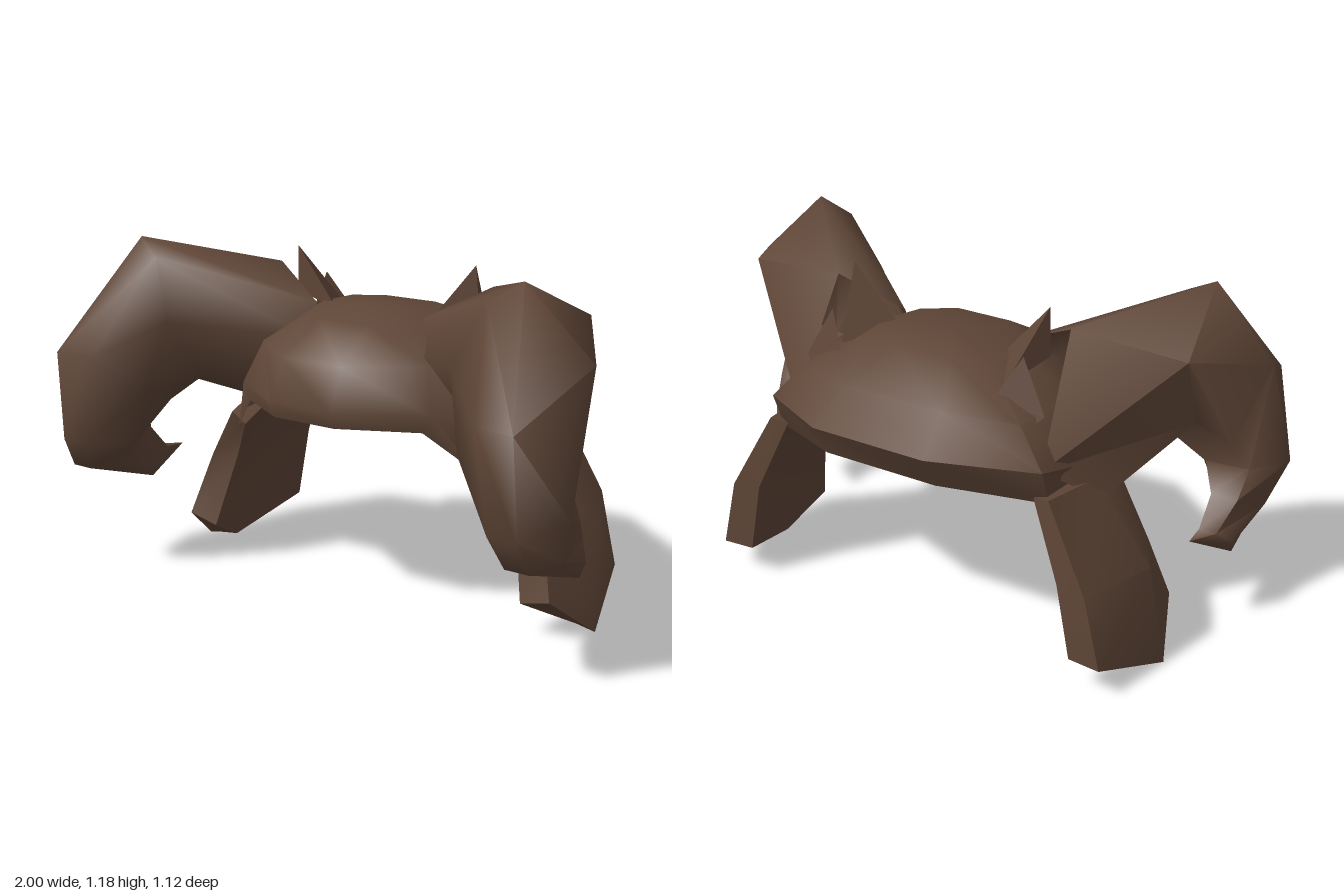
import * as THREE from 'three';
import { toCreasedNormals } from 'three/addons/utils/BufferGeometryUtils.js';

// Skin closed loops of points; optional apex points close the first / last loop.
// mirror builds the same shape on the other side of x = 0.
function loft(rows, { start, end, crease = 0.9, mirror = false }) {
  const n = rows[0].length, last = (rows.length - 1) * n;
  const pos = rows.flat(2), idx = [];
  for (let i = 0; i < rows.length - 1; i++) {
    for (let j = 0; j < n; j++) {
      const k = (j + 1) % n;
      const a = i * n + j, b = i * n + k, c = b + n, d = a + n;
      idx.push(a, b, d, b, c, d);
    }
  }
  if (start) {
    const s = pos.length / 3;
    pos.push(...start);
    for (let j = 0; j < n; j++) idx.push(s, (j + 1) % n, j);
  }
  if (end) {
    const e = pos.length / 3;
    pos.push(...end);
    for (let j = 0; j < n; j++) idx.push(last + j, last + (j + 1) % n, e);
  }
  const g = new THREE.BufferGeometry();
  g.setAttribute('position', new THREE.Float32BufferAttribute(pos, 3));
  g.setIndex(mirror ? idx.reverse() : idx);
  if (mirror) g.scale(-1, 1, 1);
  return toCreasedNormals(g, crease);
}

// Horn loops, base to end: outer, ridge outer, ridge inner, inner, belly inner, belly outer
const HORN = [
  [[0.46, 0.7, -0.3], [0.43, 1.08, -0.075], [0.22, 0.97, 0], [0.2, 0.85, 0.03], [0.42, 0.63, 0.02], [0.59, 0.56, -0.13]],
  [[0.8, 1.04, -0.03], [0.75, 1.18, 0.28], [0.65, 1.12, 0.32], [0.56, 0.92, 0.37], [0.57, 0.7, 0.2], [0.74, 0.71, 0.22]],
  [[0.97, 0.96, 0.25], [0.89, 0.81, 0.56], [0.75, 0.81, 0.535], [0.62, 0.68, 0.42], [0.66, 0.62, 0.26], [0.86, 0.65, 0.245]],
  [[1, 0.55, 0.42], [0.9, 0.5, 0.54], [0.8, 0.5, 0.54], [0.71, 0.48, 0.4], [0.77, 0.56, 0.26], [0.92, 0.57, 0.26]],
  [[0.95, 0.4, 0.36], [0.91, 0.395, 0.49], [0.83, 0.395, 0.49], [0.78, 0.39, 0.36], [0.82, 0.48, 0.2], [0.91, 0.48, 0.2]],
  [[0.92, 0.34, 0.17], [0.91, 0.295, 0.19], [0.83, 0.295, 0.19], [0.82, 0.34, 0.17], [0.82, 0.39, 0.12], [0.88, 0.39, 0.12]],
];
const HORN_TIP = [0.82, 0.385, 0.04];

// Cheek guard loops, bottom to top: outer front, middle, back, then inner back, middle, front
const GUARD = [
  [[0.75, 0.14, 0.08], [0.82, 0, -0.1], [0.73, 0.12, -0.4], [0.62, 0.12, -0.39], [0.69, 0.02, -0.1], [0.64, 0.11, 0.07]],
  [[0.69, 0.36, 0.02], [0.77, 0.37, -0.14], [0.67, 0.37, -0.4], [0.57, 0.38, -0.39], [0.64, 0.37, -0.14], [0.58, 0.37, 0.01]],
  [[0.53, 0.56, 0.09], [0.56, 0.62, -0.12], [0.52, 0.65, -0.365], [0.46, 0.64, -0.35], [0.49, 0.6, -0.12], [0.48, 0.52, 0.08]],
];

// Half of each dome loop, front to back, from the rim upward
const DOME = [
  [[0.12, 0.66, 0.35], [0.35, 0.65, 0.2], [0.5, 0.51, 0.09], [0.5, 0.61, -0.32], [0.2, 0.67, -0.49]],
  [[0.12, 0.71, 0.37], [0.38, 0.71, 0.2], [0.54, 0.62, 0.02], [0.5, 0.74, -0.37], [0.2, 0.79, -0.56]],
  [[0.12, 0.85, 0.31], [0.33, 0.85, 0.15], [0.45, 0.84, -0.05], [0.4, 0.86, -0.33], [0.18, 0.88, -0.41]],
  [[0.1, 0.95, 0.14], [0.2, 0.955, 0.06], [0.25, 0.96, -0.08], [0.22, 0.965, -0.2], [0.1, 0.97, -0.24]],
];

// Thin spikes: a three-point base and a tip
const SPIKES = [
  { base: [[0.19, 0.94, -0.07], [0.3, 0.93, -0.25], [0.37, 0.98, -0.09]], tip: [0.36, 1.14, -0.08] },
  { base: [[0.27, 0.88, -0.29], [0.37, 0.79, -0.28], [0.44, 0.86, -0.25]], tip: [0.35, 1.03, -0.225] },
];

export function createModel() {
  const model = new THREE.Group();
  model.name = 'hornedHelmet';
  const leather = new THREE.MeshStandardMaterial({ color: 0x5f4637, side: THREE.DoubleSide });
  leather.name = 'dark brown';
  const add = (name, geometry) => {
    const mesh = new THREE.Mesh(geometry, leather);
    mesh.name = name;
    model.add(mesh);
  };

  // Open-bottomed dome with an undercut rim
  const dome = DOME.map((half) => [...half, ...half.map(([x, y, z]) => [-x, y, z]).reverse()]);
  add('dome', loft(dome, { end: [0, 0.98, -0.07], crease: 1 }));

  // Curled horns, cheek guards and spikes on both sides
  for (const side of ['left', 'right']) {
    const mirror = side === 'right';
    add(side + 'Horn', loft(HORN, { end: HORN_TIP, crease: 1.3, mirror }));
    add(side + 'CheekGuard', loft(GUARD, { start: [0.755, 0.012, -0.1], end: [0.51, 0.61, -0.12], mirror }));
    SPIKES.forEach(({ base, tip }, i) =>
      add(side + 'Spike' + (i + 1), loft([base], { end: tip, crease: 0.3, mirror })));
  }
  return model;
}
